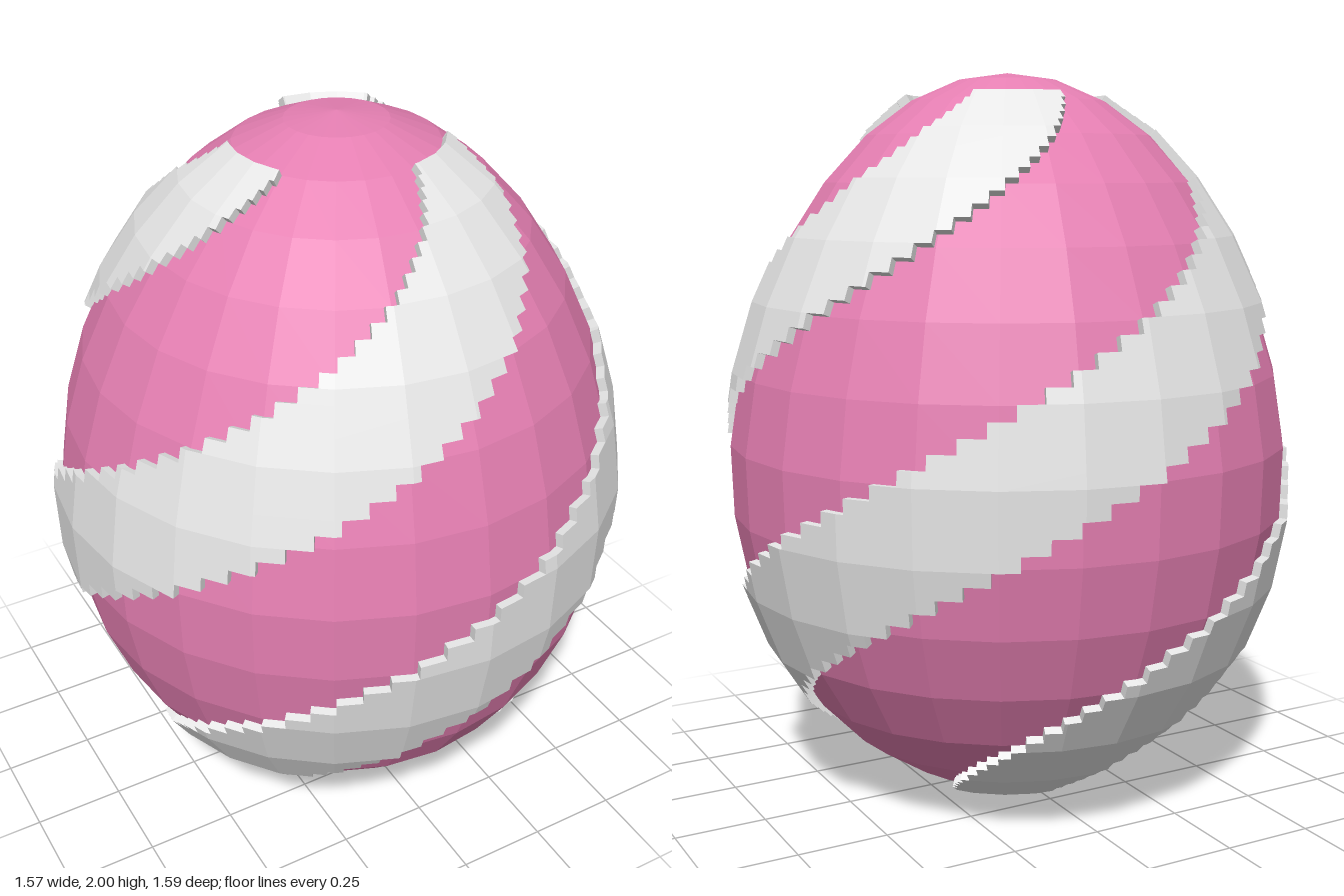
import * as THREE from 'three';

const RINGS = 16, SIDES = 24;      // coarse facets of the egg
const ROWS = 5;                    // stripe steps per ring of facets
const THICK = 0.023;               // how far the stripes stand proud
const TWIST = 135, STRIPE_WIDTH = 48, STRIPES = 3; // degrees (twist per unit height)

// Egg profile: ring 0 is the bottom pole, ring RINGS the top pole
function profile(i) {
  const t = (i / RINGS) * Math.PI, c = -Math.cos(t);
  const r = Math.sin(t) * (0.775 - (c > 0 ? 0.085 : 0.05) * c);
  return new THREE.Vector2(Math.max(0, r), 1 + c);
}

// Profile pushed outwards along its normal
function raisedProfile(i, offset) {
  const d = profile(i + 0.05).sub(profile(i - 0.05)).normalize();
  return profile(i).add(new THREE.Vector2(d.y, -d.x).multiplyScalar(offset));
}

// Point of the faceted surface at an angle in degrees and a stripe row
function surfacePoint(degrees, row, offset) {
  const ring = Math.floor(row / ROWS), step = 360 / SIDES, side = Math.floor(degrees / step);
  const p = raisedProfile(ring, offset).lerp(raisedProfile(ring + 1, offset), row / ROWS - ring);
  const corner = (k) => {
    const angle = (k / SIDES) * Math.PI * 2;
    return new THREE.Vector3(p.x * Math.sin(angle), p.y, p.x * Math.cos(angle));
  };
  return corner(side).lerp(corner(side + 1), degrees / step - side);
}

// One raised spiral stripe: stacked bands, each turned a little further than the last
function stripeGeometry() {
  const first = 2 * ROWS, last = (RINGS - 2) * ROWS, step = 360 / SIDES;
  const positions = [];
  const quad = (p, q, r, s) => [p, q, r, p, r, s].forEach((v) => positions.push(v.x, v.y, v.z));
  const outer = (angle, row) => surfacePoint(angle, row, THICK);
  const inner = (angle, row) => surfacePoint(angle, row, -0.004);
  // right-hand edge of a band
  const edge = (row) => {
    const y = (surfacePoint(0, row, 0).y + surfacePoint(0, row + 1, 0).y) / 2;
    return TWIST * (y - 1.463);
  };
  // calls draw for each piece of an arc, cut where the facets meet
  const eachPiece = (from, to, draw) => {
    for (let a = from; a < to - 1e-6;) {
      const b = Math.min(to, (Math.floor(a / step + 1e-6) + 1) * step);
      draw(a, b);
      a = b;
    }
  };
  const wall = (a0, r0, a1, r1) => quad(inner(a0, r0), inner(a1, r1), outer(a1, r1), outer(a0, r0));

  for (let row = first; row < last; row++) {
    const right = edge(row), left = right - STRIPE_WIDTH;
    eachPiece(left, right, (a, b) =>
      quad(outer(a, row), outer(b, row), outer(b, row + 1), outer(a, row + 1)));
    // band ends
    wall(right, row, right, row + 1);
    wall(left, row + 1, left, row);
    // exposed undersides and tops of the steps
    const lower = row === first ? left : edge(row - 1);
    const upper = row === last - 1 ? right : edge(row + 1) - STRIPE_WIDTH;
    eachPiece(lower, right, (a, b) => wall(a, row, b, row));
    eachPiece(left, upper, (a, b) => wall(b, row + 1, a, row + 1));
  }
  const geometry = new THREE.BufferGeometry();
  geometry.setAttribute('position', new THREE.Float32BufferAttribute(positions, 3));
  geometry.computeVertexNormals();
  return geometry;
}

export function createModel() {
  const pink = new THREE.MeshStandardMaterial({ color: 0xe57fb2, flatShading: true });
  pink.name = 'pink';
  const white = new THREE.MeshStandardMaterial({ color: 0xe6e6e6, flatShading: true });
  white.name = 'white';

  const group = new THREE.Group();
  group.name = 'stripedEgg';

  // Egg body
  const points = Array.from({ length: RINGS + 1 }, (_, i) => profile(i));
  const shell = new THREE.Mesh(new THREE.LatheGeometry(points, SIDES), pink);
  shell.name = 'eggShell';
  group.add(shell);

  // Three spiral stripes
  const geometry = stripeGeometry();
  for (let i = 0; i < STRIPES; i++) {
    const stripe = new THREE.Mesh(geometry, white);
    stripe.name = 'spiralStripe' + (i + 1);
    stripe.rotation.y = (i / STRIPES) * Math.PI * 2;
    group.add(stripe);
  }
  return group;
}
